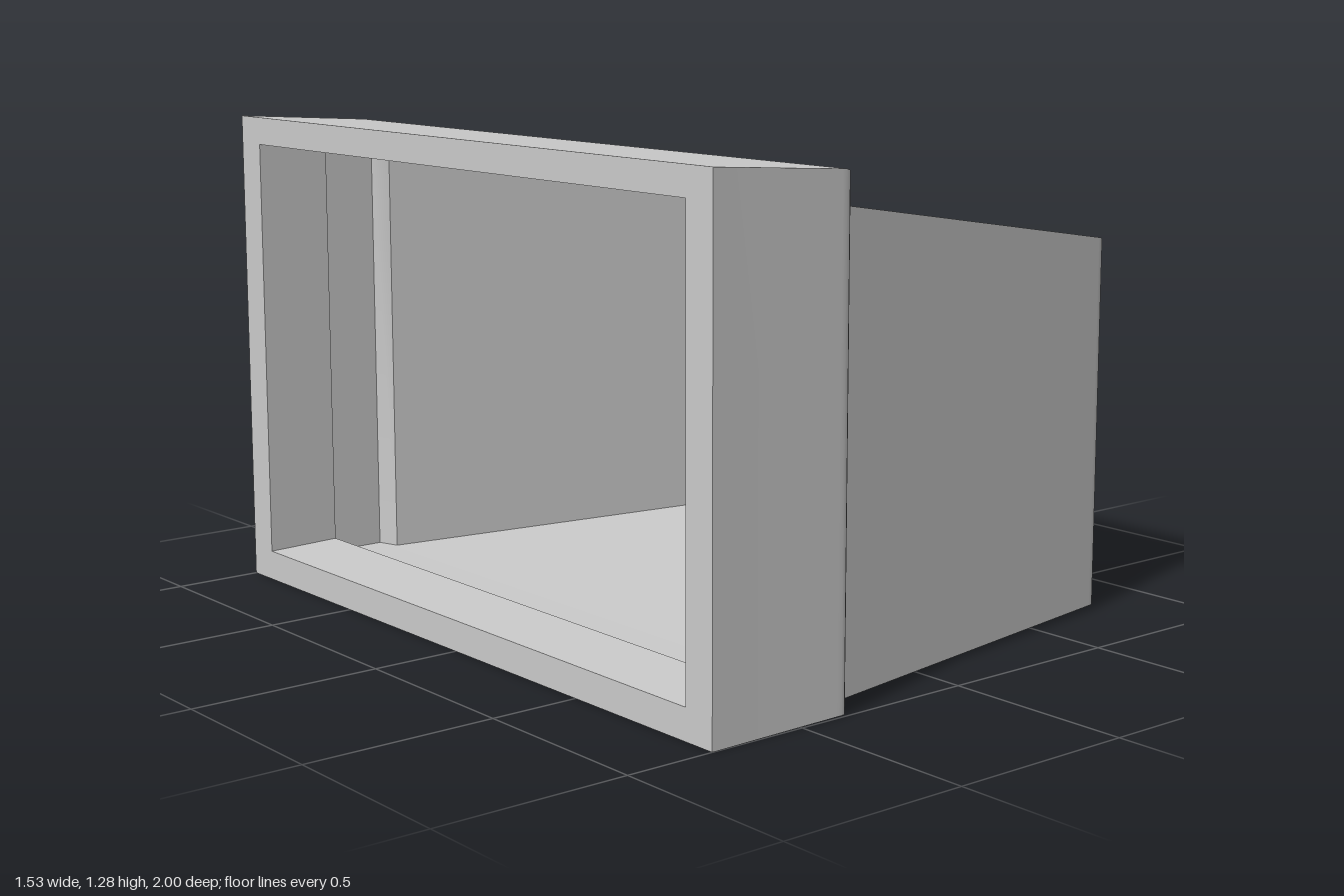
import * as THREE from 'three';
import { toCreasedNormals } from 'three/addons/utils/BufferGeometryUtils.js';

// Joins rectangular sections [x, half depth, bottom y, top y] into a skin.
// Sections running towards -x face outwards; towards +x they face inwards.
function loft(name, sections, { capStart = false, capEnd = false } = {}) {
  const rings = sections.map(([x, d, y0, y1]) => [[x, y0, d], [x, y1, d], [x, y1, -d], [x, y0, -d]]);
  const pos = [];
  const quad = (a, b, c, d) => pos.push(...a, ...b, ...c, ...a, ...c, ...d);
  for (let i = 0; i < rings.length - 1; i++) {
    const r = rings[i], s = rings[i + 1];
    for (let k = 0; k < 4; k++) {
      const n = (k + 1) % 4;
      quad(r[k], r[n], s[n], s[k]);
    }
  }
  if (capStart) {
    const r = rings[0];
    quad(r[0], r[3], r[2], r[1]);
  }
  if (capEnd) quad(...rings[rings.length - 1]);

  const geometry = new THREE.BufferGeometry();
  geometry.setAttribute('position', new THREE.Float32BufferAttribute(pos, 3));
  const mesh = new THREE.Mesh(toCreasedNormals(geometry, 0.7), new THREE.MeshStandardMaterial({ color: 0xcccccc }));
  mesh.name = name;
  return mesh;
}

export function createModel() {
  const group = new THREE.Group();
  group.name = 'taperedHousing';

  // Tapered closed body with a finely rounded end edge
  const body = loft('taperedBody', [
    [0.763, 0.737, 0.02, 0.977],
    [0.763, 0.744, 0.016, 0.984],
    [0.76, 0.749, 0.0145, 0.991],
    [0.753, 0.752, 0.014, 0.995],
    [0.742, 0.7537, 0.014, 0.9968],
    [-0.345, 0.924, 0.006, 1.17],
  ], { capStart: true });

  // Wider collar with a sloped shoulder and rounded outer edge
  const collar = loft('collar', [
    [-0.345, 0.924, 0.006, 1.17],
    [-0.357, 0.98, 0.004, 1.23],
    [-0.36, 0.99, 0.004, 1.245],
    [-0.367, 0.996, 0.003, 1.253],
    [-0.378, 0.998, 0.003, 1.2565],
    [-0.39, 0.998, 0.003, 1.2573],
    [-0.765, 1.0, 0, 1.283],
  ]);

  // Rim face and the raised lip around the opening
  const lip = loft('openingLip', [
    [-0.765, 1.0, 0, 1.283],
    [-0.765, 0.908, 0.08, 1.21],
    [-0.56, 0.908, 0.085, 1.2],
    [-0.56, 0.96, 0.035, 1.235],
  ]);

  // Hollow inside, following the outer skin
  const interior = loft('interior', [
    [-0.56, 0.96, 0.035, 1.235],
    [-0.382, 0.958, 0.035, 1.22],
    [-0.362, 0.898, 0.035, 1.145],
    [0.735, 0.728, 0.04, 0.97],
  ], { capEnd: true });

  group.add(body, collar, lip, interior);
  return group;
}
